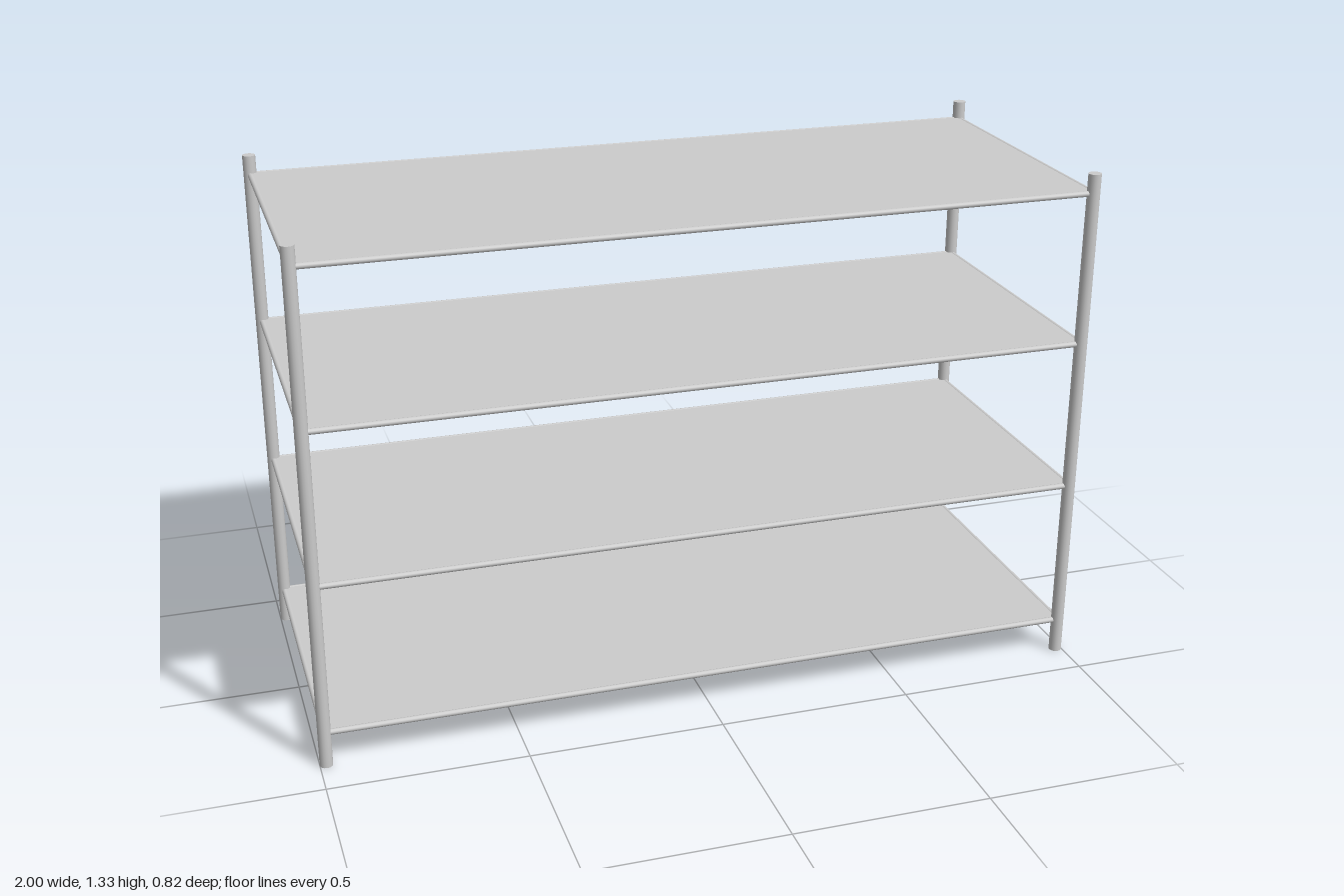
import * as THREE from 'three';

const POST_X = 0.984, POST_Z = 0.392, POST_R = 0.0165, HEIGHT = 1.326;
const ROD_R = 0.0075;

export function createModel() {
  const model = new THREE.Group();
  model.name = 'shelvingUnit';
  const material = new THREE.MeshStandardMaterial({ color: 0xcccccc });

  const add = (parent, name, geometry, x, y, z) => {
    const mesh = new THREE.Mesh(geometry, material);
    mesh.name = name;
    mesh.position.set(x, y, z);
    parent.add(mesh);
    return mesh;
  };

  // Four round corner posts
  const postGeometry = new THREE.CylinderGeometry(POST_R, POST_R, HEIGHT, 16);
  for (const [sideX, x] of [['Left', 1], ['Right', -1]]) {
    for (const [sideZ, z] of [['front', 1], ['back', -1]]) {
      add(model, `${sideZ}${sideX}Post`, postGeometry, x * POST_X, HEIGHT / 2, z * POST_Z);
    }
  }

  // Shelves: a thin panel rimmed by slim rods running between the posts
  const panel = new THREE.BoxGeometry(2 * POST_X, 0.012, 2 * POST_Z);
  const longRod = new THREE.CylinderGeometry(ROD_R, ROD_R, 2 * POST_X, 12).rotateZ(Math.PI / 2);
  const shortRod = new THREE.CylinderGeometry(ROD_R, ROD_R, 2 * POST_Z, 12).rotateX(Math.PI / 2);
  for (let i = 0; i < 4; i++) {
    const shelf = new THREE.Group();
    shelf.name = `shelf${i + 1}`;
    shelf.position.y = 0.09 + i * 0.395;
    add(shelf, 'panel', panel, 0, 0, 0);
    for (const s of [1, -1]) {
      add(shelf, s > 0 ? 'frontRail' : 'backRail', longRod, 0, 0, s * POST_Z);
      add(shelf, s > 0 ? 'leftRail' : 'rightRail', shortRod, s * POST_X, 0, 0);
    }
    model.add(shelf);
  }
  return model;
}
